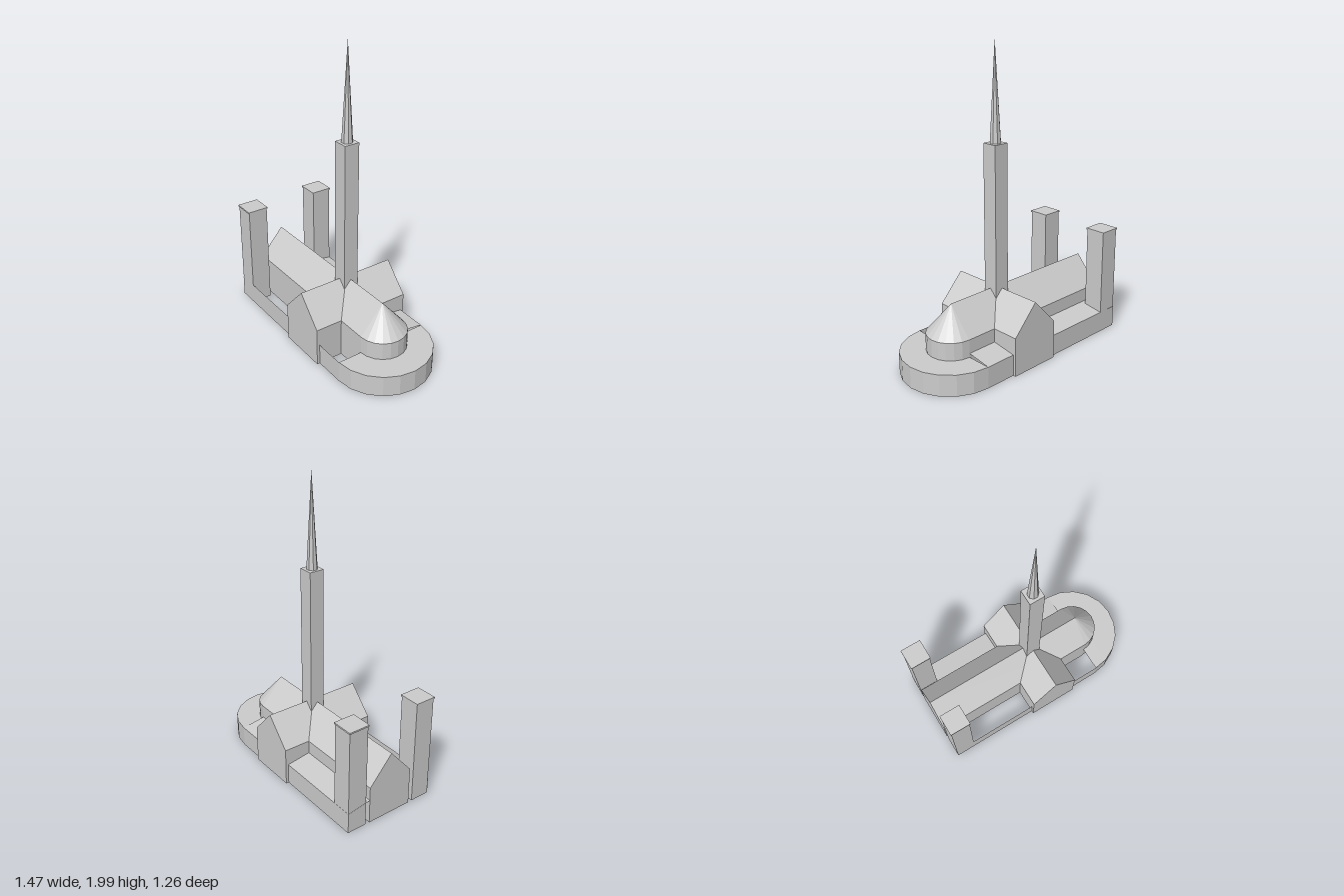
import * as THREE from 'three';

const EAVE = 0.255, RIDGE = 0.438, AISLE = 0.14;
const NAVE = 0.16, OUTER = 0.324, WEST = -0.79, EAST = 0.375, CROSS = 0.17;

export function createModel() {
  const model = new THREE.Group();
  const church = new THREE.Group();
  church.name = 'church';
  church.position.set(0.103, 0, 0.09);
  church.rotation.y = -0.6014; // plan turned on the base; local x runs toward the apse
  model.add(church);

  const stone = new THREE.MeshStandardMaterial({ color: 0xcccccc, side: THREE.DoubleSide, flatShading: true });
  stone.name = 'stone';

  const add = (name, geometry, x = 0, y = 0, z = 0) => {
    const mesh = new THREE.Mesh(geometry, stone);
    mesh.name = name;
    mesh.position.set(x, y, z);
    church.add(mesh);
    return mesh;
  };

  // Flat convex faces, each a list of corners counter-clockwise from outside
  const faces = (list) => {
    const p = [];
    for (const f of list)
      for (let i = 1; i < f.length - 1; i++) p.push(...f[0], ...f[i], ...f[i + 1]);
    const g = new THREE.BufferGeometry();
    g.setAttribute('position', new THREE.Float32BufferAttribute(p, 3));
    g.computeVertexNormals();
    return g;
  };

  // Gabled hall along x, open underneath
  const hall = (x0, x1, w, eastGable) => {
    const end = (x) => [[x, 0, w], [x, 0, -w], [x, EAVE, -w], [x, RIDGE, 0], [x, EAVE, w]];
    const a = end(x0), b = end(x1);
    const list = [[...a].reverse()];
    for (let i = 1; i < 5; i++) {
      const j = (i + 1) % 5;
      list.push([a[i], a[j], b[j], b[i]]);
    }
    if (eastGable) list.push(b);
    return faces(list);
  };

  add('naveAndChoir', hall(WEST, EAST, NAVE, false));
  add('transept', hall(-0.343, 0.343, CROSS, true).rotateY(Math.PI / 2));

  // Apse with half-cone roof
  add('apseWall', new THREE.CylinderGeometry(NAVE, NAVE, EAVE, 10, 1, true, 0, Math.PI), EAST, EAVE / 2);
  add('apseRoof', new THREE.CylinderGeometry(0, NAVE, RIDGE - EAVE, 10, 1, true, 0, Math.PI),
    EAST, (EAVE + RIDGE) / 2);

  // Ambulatory around the apse
  add('ambulatoryWall', new THREE.CylinderGeometry(OUTER, OUTER, AISLE, 10, 1, true, 0, Math.PI), EAST, AISLE / 2);
  add('ambulatoryRoof', new THREE.RingGeometry(NAVE - 0.01, OUTER, 10, 1, -Math.PI / 2, Math.PI).rotateX(-Math.PI / 2),
    EAST, AISLE);

  // Aisles: outer walls on both sides, lean-to roofs on the rear side
  for (const [x0, x1] of [[WEST, -CROSS], [CROSS, EAST]]) {
    add('frontAisleWall', faces([[[x0, 0, OUTER], [x1, 0, OUTER], [x1, AISLE, OUTER], [x0, AISLE, OUTER]]]));
    add('rearAisleWall', faces([[[x1, 0, -OUTER], [x0, 0, -OUTER], [x0, AISLE, -OUTER], [x1, AISLE, -OUTER]]]));
    add('rearAisleRoof', faces([[[x0, AISLE, -OUTER], [x0, 0.165, -NAVE], [x1, 0.165, -NAVE], [x1, AISLE, -OUTER]]]));
  }

  // West towers with thin caps
  for (const side of [1, -1]) {
    add('westTower', new THREE.BoxGeometry(0.134, 0.7, 0.134), -0.722, 0.35, side * 0.256);
    add('westTowerCap', new THREE.BoxGeometry(0.144, 0.01, 0.144), -0.722, 0.705, side * 0.256);
  }

  // Crossing tower and spire
  add('crossingTower', new THREE.BoxGeometry(0.102, 1.07, 0.102), 0, 0.83, 0);
  add('spire', new THREE.ConeGeometry(0.036, 0.62, 8), 0, 1.675, 0).rotation.y = Math.PI / 8;

  return model;
}
